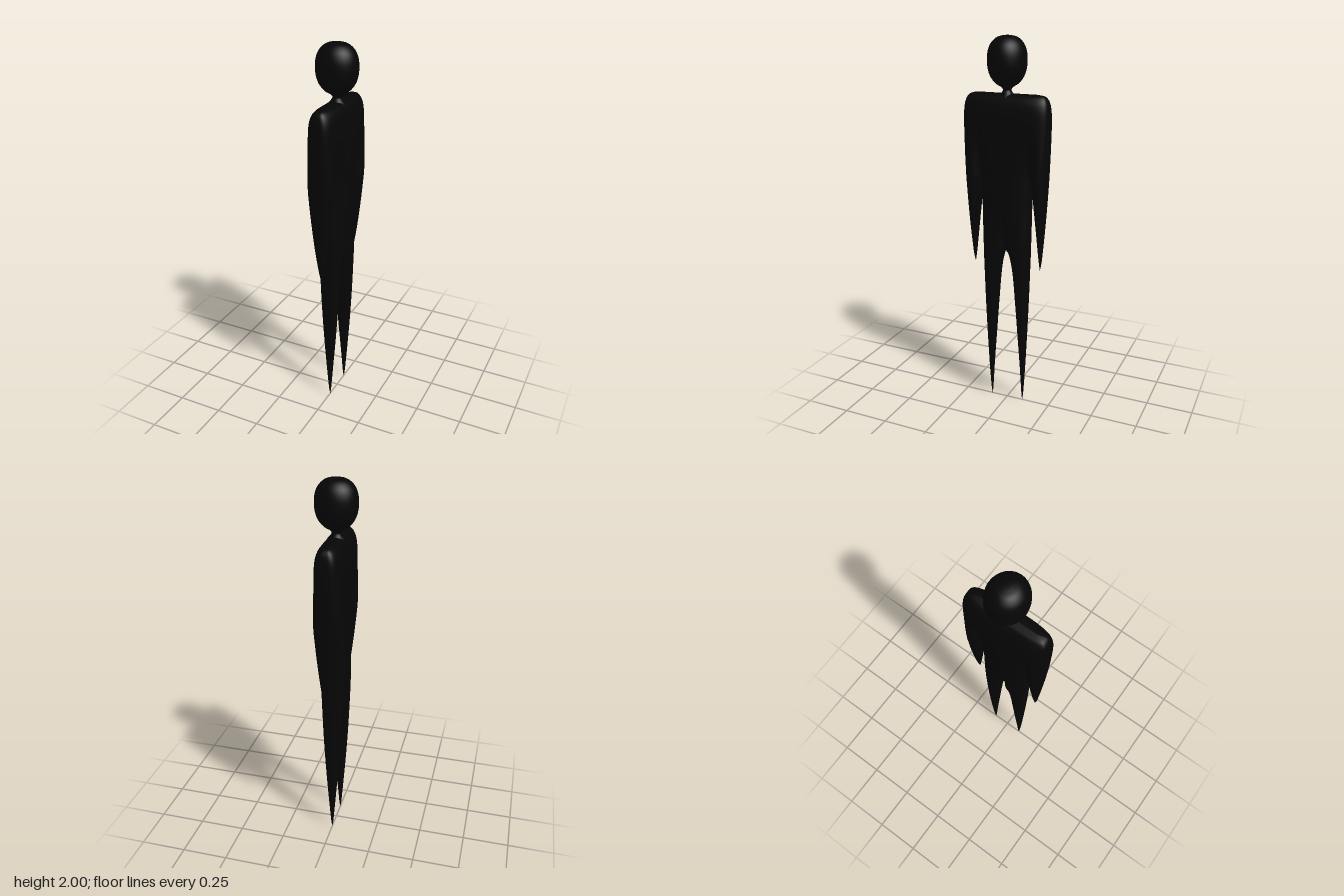
import * as THREE from 'three';

const SEG = 96;

// Smooth lookup in rows of [y, ...values]
function profile(rows) {
  const size = rows[0].length - 1;
  const curve = new THREE.CubicInterpolant(rows.map(r => r[0]), rows.flatMap(r => r.slice(1)), size, new Float32Array(size));
  return y => Array.from(curve.evaluate(y), v => Math.max(v, 0));
}

// Skin of horizontal rings; ring(y, angle) gives [x, z], rows bunched towards both ends
function loft(y0, y1, rows, ring) {
  const pos = [], index = [];
  for (let r = 0; r <= rows; r++) {
    const y = y0 + (y1 - y0) * (1 - Math.cos(Math.PI * r / rows)) / 2;
    for (let i = 0; i < SEG; i++) {
      const [x, z] = ring(y, 2 * Math.PI * i / SEG);
      pos.push(x, y, z);
      if (r === rows) continue;
      const a = r * SEG + i, b = r * SEG + (i + 1) % SEG;
      index.push(a, b, b + SEG, a, b + SEG, a + SEG);
    }
  }
  const geo = new THREE.BufferGeometry();
  geo.setAttribute('position', new THREE.Float32BufferAttribute(pos, 3));
  geo.setIndex(index);
  geo.computeVertexNormals();
  return geo;
}

// Half thickness of a rounded section at offset z
const bulge = (z, centre, half, power) =>
  Math.pow(Math.max(0, 1 - Math.pow(Math.abs((z - centre) / half), power)), 1 / power);

const LOBE = 2.3;

// Tapered limb from rows of [y, inner z, outer z, half depth]
function limb(rows) {
  const at = profile(rows);
  return loft(rows[0][0], rows[rows.length - 1][0], 40, (y, a) => {
    const [inner, outer, depth] = at(y);
    const c = Math.cos(a), half = Math.max(0, (outer - inner) / 2);
    return [Math.sign(Math.sin(a)) * depth * bulge(c, 0, 1, LOBE), (inner + outer) / 2 + half * c];
  });
}

// Body block from rows of [y, half width, half depth], parting into lobes at its lower end.
// Lobes are [centre, half width, depth] as fractions of the block.
function block(rows, power, lobes, blendTop) {
  const at = profile(rows), y0 = rows[0][0];
  return loft(y0, rows[rows.length - 1][0], 48, (y, a) => {
    const [width, depth] = at(y), c = Math.cos(a);
    const parted = Math.max(...lobes.map(([m, h, d]) => d * bulge(c, m, h, LOBE)));
    const t = THREE.MathUtils.smoothstep(y, y0, blendTop);
    const thick = THREE.MathUtils.lerp(parted, bulge(c, 0, 1, power), t);
    return [Math.sign(Math.sin(a)) * depth * thick, width * c];
  });
}

export function createModel() {
  const group = new THREE.Group();
  const material = new THREE.MeshStandardMaterial({ color: 0x060606, side: THREE.DoubleSide });
  const add = (name, geo) => {
    const mesh = new THREE.Mesh(geo, material);
    mesh.name = name;
    group.add(mesh);
    return mesh;
  };

  // Head and short neck, slightly narrower along z
  const headPoints = [[0.045, 1.705], [0.03, 1.722], [0.023, 1.738], [0.035, 1.752], [0.062, 1.768], [0.087, 1.797],
    [0.101, 1.83], [0.107, 1.87], [0.104, 1.92], [0.088, 1.96], [0.058, 1.988], [0.025, 1.998], [0, 2]];
  const headCurve = new THREE.SplineCurve(headPoints.map(p => new THREE.Vector2(...p)));
  const headProfile = headCurve.getPoints(60).map(p => p.setX(Math.max(0, p.x)));
  add('head', new THREE.LatheGeometry(headProfile, 64)).scale.z = 0.92;

  // Shoulders and chest, parting into two arms and the waist
  add('chest', block([[1.29, 0.223, 0.071], [1.4, 0.227, 0.074], [1.5, 0.23, 0.075], [1.6, 0.231, 0.074],
    [1.65, 0.228, 0.069], [1.68, 0.222, 0.06], [1.7, 0.212, 0.047], [1.715, 0.19, 0.025], [1.72, 0.16, 0]],
  3.5, [[0, 0.628, 1], [0.814, 0.186, 0.945], [-0.814, 0.186, 0.945]], 1.6));

  // Waist and hips, parting into two legs
  add('hips', block([[0.9, 0.13, 0.06], [1.0, 0.133, 0.064], [1.15, 0.137, 0.068], [1.29, 0.14, 0.071]],
    LOBE, [[0.5, 0.5, 1], [-0.5, 0.5, 1]], 1.15));

  // Pointed arms and legs, mirrored across z
  const arm = limb([[0.8, 0.188, 0.188, 0], [0.84, 0.183, 0.195, 0.009], [0.9, 0.178, 0.2, 0.02],
    [1.0, 0.17, 0.207, 0.035], [1.15, 0.156, 0.216, 0.053], [1.25, 0.146, 0.221, 0.063], [1.29, 0.14, 0.223, 0.067]]);
  const leg = limb([[0, 0.092, 0.092, 0], [0.03, 0.089, 0.096, 0.005], [0.1, 0.085, 0.101, 0.011],
    [0.2, 0.08, 0.106, 0.019], [0.4, 0.067, 0.114, 0.034], [0.6, 0.053, 0.121, 0.046],
    [0.8, 0.034, 0.127, 0.055], [0.86, 0.021, 0.129, 0.058], [0.885, 0.012, 0.13, 0.059], [0.9, 0, 0.13, 0.06]]);
  for (const [side, turn] of [['front', 0], ['back', Math.PI]]) {
    add(side + 'Arm', arm).rotation.y = turn;
    add(side + 'Leg', leg).rotation.y = turn;
  }
  return group;
}
